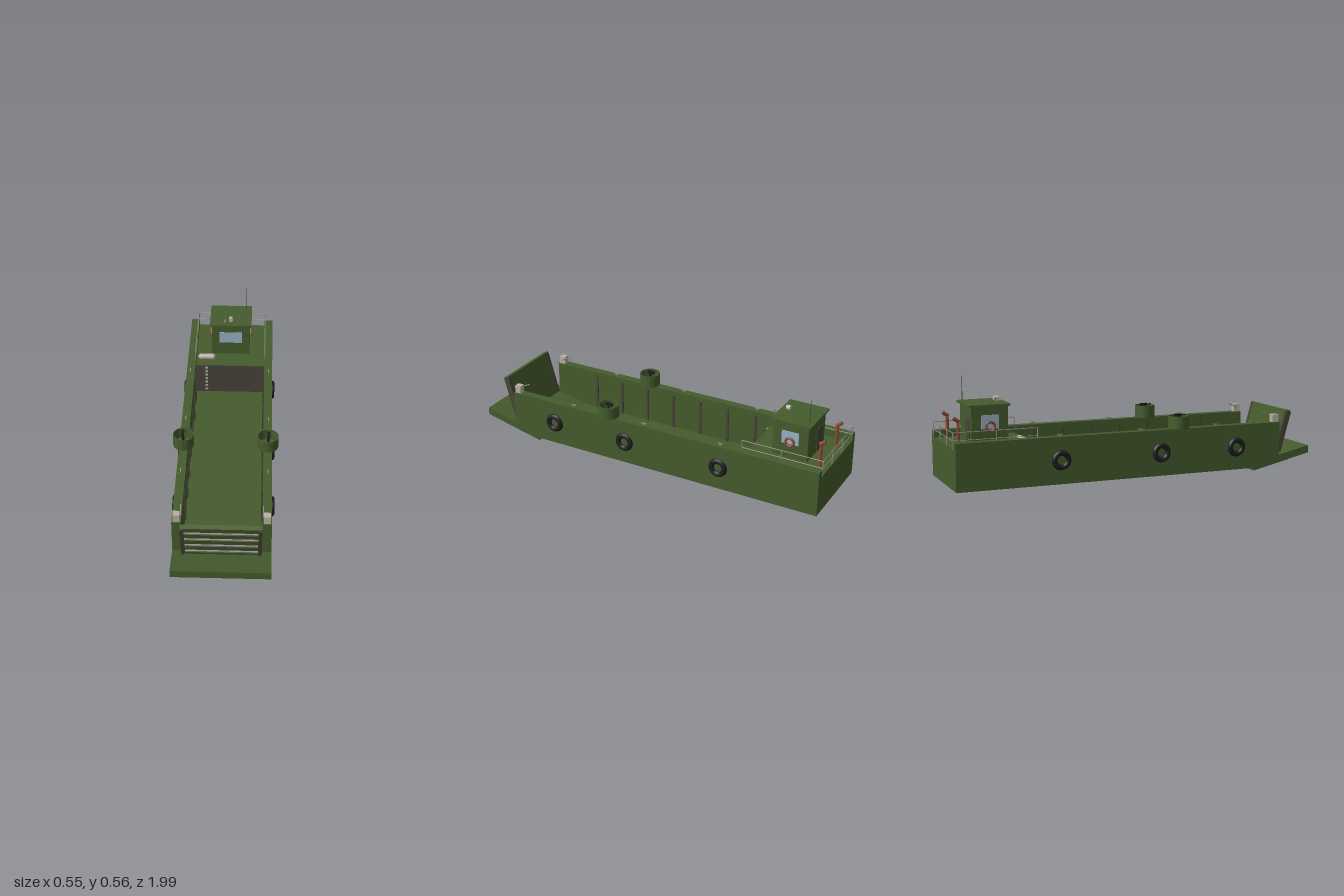
import * as THREE from 'three';

const mat = (name, color, side = THREE.FrontSide) => {
  const m = new THREE.MeshStandardMaterial({ color, side });
  m.name = name;
  return m;
};

export function createModel() {
  const green = mat('hull green', 0x455c2d);
  const greenOpen = green;
  const brown = mat('dark olive brown', 0x48443a);
  const grey = mat('weathered grey', 0x8f8a80);
  const pale = mat('pale beige', 0xb9b1a5);
  const black = mat('rubber black', 0x1e1e1e);
  const glass = mat('window blue', 0x98b3c8);
  const rust = mat('rust red', 0x8f4a33);

  const model = new THREE.Group();
  model.name = 'landingCraft';

  const add = (name, geo, material, x = 0, y = 0, z = 0, parent = model) => {
    const m = new THREE.Mesh(geo, material);
    m.name = name;
    m.position.set(x, y, z);
    parent.add(m);
    return m;
  };
  // Box given by its limits on each axis
  const box = (name, material, x0, x1, y0, y1, z0, z1, parent = model) =>
    add(name, new THREE.BoxGeometry(x1 - x0, y1 - y0, z1 - z0), material,
      (x0 + x1) / 2, (y0 + y1) / 2, (z0 + z1) / 2, parent);
  // Rod between two points
  const rod = (name, material, a, b, r, parent = model, sides = 8) => {
    const p = new THREE.Vector3(...a), q = new THREE.Vector3(...b);
    const d = q.clone().sub(p);
    const m = add(name, new THREE.CylinderGeometry(r, r, d.length(), sides), material, 0, 0, 0, parent);
    m.position.copy(p).add(q).multiplyScalar(0.5);
    m.quaternion.setFromUnitVectors(new THREE.Vector3(0, 1, 0), d.normalize());
    return m;
  };
  // Side profile of (z, y) points extruded across x
  const profile = (name, material, points, x0, x1) => {
    const shape = new THREE.Shape(points.map(p => new THREE.Vector2(...p)));
    const geo = new THREE.ExtrudeGeometry(shape, { depth: x1 - x0, bevelEnabled: false });
    geo.rotateY(-Math.PI / 2);
    return add(name, geo, material, x1, 0, 0);
  };

  // Hull: side walls, cargo floor, raised stern and sloping bow
  const wall = [[-0.99, 0.015], [0.66, 0.015], [0.815, 0.06], [0.815, 0.258], [-0.99, 0.258]];
  profile('rightWall', green, wall, -0.243, -0.197);
  profile('leftWall', green, wall, 0.197, 0.243);
  box('cargoFloor', green, -0.197, 0.197, 0.015, 0.038, -0.56, 0.66);
  box('sternDeck', green, -0.197, 0.197, 0.015, 0.222, -0.99, -0.56);
  box('bulkhead', brown, -0.197, 0.197, 0.038, 0.221, -0.56, -0.556);
  profile('bowApron', green, [[0.66, 0], [1, 0.077], [1, 0.117], [0.65, 0.041]], -0.243, 0.243);

  // Bow ramp, leaning forward
  const ramp = new THREE.Group();
  ramp.name = 'bowRamp';
  ramp.position.set(0, 0.037, 0.821);
  ramp.rotation.x = 0.276;
  model.add(ramp);
  box('rampPanel', green, -0.196, 0.196, 0, 0.286, -0.0135, 0.0115, ramp);
  for (const s of [-1, 1])
    add('rampEdge', new THREE.BoxGeometry(0.016, 0.28, 0.033), brown, s * 0.188, 0.14, 0.001, ramp);
  for (const y of [0.12, 0.172, 0.224, 0.276])
    add('rampBar', new THREE.BoxGeometry(0.355, 0.011, 0.008), grey, 0, (y - 0.037) / 0.962, 0.0145, ramp);

  // Fittings mirrored on both sides
  const tub = [[0, 0], [0.055, 0], [0.055, 0.067], [0.051, 0.067], [0.051, 0.006], [0, 0.006]]
    .map(p => new THREE.Vector2(...p));
  const tubGeo = new THREE.LatheGeometry(tub, 24).toNonIndexed();
  tubGeo.computeVertexNormals();
  const tyreGeo = new THREE.TorusGeometry(0.037, 0.0148, 10, 28).rotateY(Math.PI / 2);
  for (const s of [-1, 1]) {
    // Tyre fenders
    for (const z of [0.55, 0.108, -0.445]) add('tyreFender', tyreGeo, black, s * 0.243, 0.138, z);
    // Wall ribs
    for (let i = 0; i < 7; i++)
      add('wallRib', new THREE.BoxGeometry(0.008, 0.195, 0.014), brown, s * 0.194, 0.136, -0.45 + i / 6);
    // Mooring cleats
    for (const z of [-0.445, 0, 0.435]) {
      add('cleatFoot', new THREE.BoxGeometry(0.006, 0.008, 0.01), grey, s * 0.222, 0.262, z);
      add('cleatBar', new THREE.BoxGeometry(0.006, 0.004, 0.03), grey, s * 0.222, 0.267, z);
    }
    // Gun tub with mounted gun
    add('gunTub', tubGeo, greenOpen, s * 0.22, 0.258, 0.215);
    rod('gunPost', black, [s * 0.222, 0.26, 0.215], [s * 0.222, 0.325, 0.215], 0.006);
    add('gunBody', new THREE.BoxGeometry(0.014, 0.014, 0.04), black, s * 0.224, 0.328, 0.21);
    rod('gunBarrel', black, [s * 0.224, 0.329, 0.22], [s * 0.224, 0.329, 0.255], 0.003);
    // Bow winch boxes with levers
    box('winchBox', pale, s * 0.22 - 0.0165, s * 0.22 + 0.0165, 0.258, 0.3, 0.775, 0.81);
    rod('winchLever', grey, [s * 0.2, 0.282, 0.79], [s * 0.2, 0.308, 0.738], 0.003);
    // Exhaust stacks with tilted outlets
    rod('exhaustPipe', rust, [s * 0.11, 0.222, -0.94], [s * 0.11, 0.352, -0.94], 0.0085, model, 12);
    rod('exhaustOutlet', rust, [s * 0.11, 0.344, -0.934], [s * 0.11, 0.364, -0.963], 0.0095, model, 12);
    // Side railing
    for (const z of [-0.556, -0.77, -0.99])
      rod('railPost', grey, [s * 0.2, 0.222, z], [s * 0.2, 0.305, z], 0.003);
    for (const y of [0.265, 0.305])
      rod('sideRail', grey, [s * 0.2, y, -0.556], [s * 0.2, y, -0.99], 0.0022);
  }
  // Stern railing
  for (const x of [-0.067, 0.067]) rod('railPost', grey, [x, 0.222, -0.988], [x, 0.305, -0.988], 0.003);
  for (const y of [0.265, 0.305]) rod('sternRail', grey, [-0.2, y, -0.99], [0.2, y, -0.99], 0.0022);

  // Wheelhouse
  box('wheelhouse', green, -0.11, 0.11, 0.222, 0.412, -0.872, -0.682);
  box('wheelhouseRoof', green, -0.12, 0.12, 0.412, 0.423, -0.886, -0.67);
  box('frontWindow', glass, -0.066, 0.066, 0.3, 0.37, -0.682, -0.679);
  box('rearDoor', brown, -0.075, -0.01, 0.225, 0.352, -0.875, -0.872);
  for (const s of [-1, 1]) {
    add('sideWindow', new THREE.BoxGeometry(0.004, 0.07, 0.092), glass, s * 0.111, 0.335, -0.776);
    add('lifebuoy', new THREE.TorusGeometry(0.022, 0.0065, 8, 24).rotateY(Math.PI / 2), rust, s * 0.117, 0.313, -0.776);
  }

  // Roof equipment
  rod('searchlightPost', grey, [0, 0.423, -0.715], [0, 0.432, -0.715], 0.003);
  rod('searchlight', pale, [0, 0.44, -0.725], [0, 0.44, -0.703], 0.0125, model, 16);
  rod('hornPost', grey, [-0.033, 0.423, -0.708], [-0.033, 0.43, -0.708], 0.002);
  rod('horn', grey, [-0.033, 0.43, -0.718], [-0.033, 0.43, -0.698], 0.006, model, 12);
  rod('antennaBase', brown, [0.088, 0.423, -0.865], [0.088, 0.51, -0.865], 0.0018);
  rod('antennaTip', brown, [0.088, 0.51, -0.865], [0.088, 0.555, -0.865], 0.001);

  // Life raft canister on the stern deck
  const raft = add('lifeRaft', new THREE.CapsuleGeometry(0.017, 0.066, 6, 16), pale, -0.136, 0.241, -0.62);
  raft.rotation.z = Math.PI / 2;

  // Ladder rungs on the bulkhead
  for (let i = 0; i < 7; i++)
    add('ladderRung', new THREE.BoxGeometry(0.016, 0.005, 0.014), grey, -0.136, 0.06 + i * 0.025, -0.549);

  return model;
}
